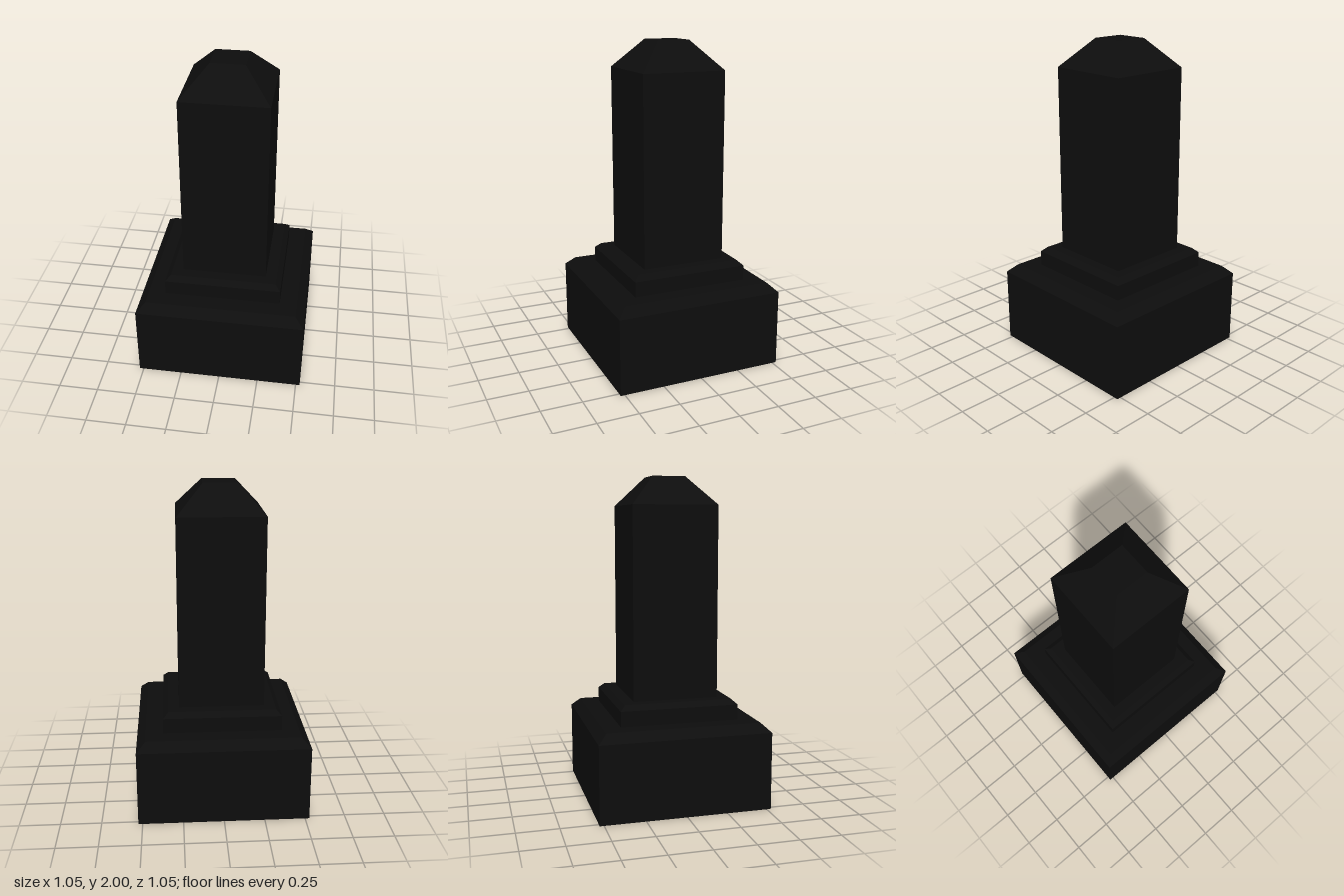
import * as THREE from 'three';

// Square hollow shell from a profile of [half width, height], listed bottom to top
function squareShell(name, profile, material) {
  const points = profile.map(([half, y]) => new THREE.Vector2(half * Math.SQRT2, y));
  const geometry = new THREE.LatheGeometry(points, 4, Math.PI / 4).toNonIndexed();
  geometry.computeVertexNormals(); // flat faces with hard edges
  const mesh = new THREE.Mesh(geometry, material);
  mesh.name = name;
  return mesh;
}

export function createModel() {
  const group = new THREE.Group();
  group.name = 'stonePillar';

  // Open underneath, so the inside faces show as well
  const blackStone = new THREE.MeshStandardMaterial({ color: 0x0d0d0d, side: THREE.DoubleSide });
  blackStone.name = 'blackStone';

  group.add(
    // Wide plinth with a chamfered top and a ledge running in to the step
    squareShell('plinth', [[0.526, 0], [0.526, 0.475], [0.471, 0.528], [0.364, 0.528]], blackStone),
    // Smaller chamfered step with a ledge running in to the shaft
    squareShell('step', [[0.364, 0.528], [0.364, 0.622], [0.331, 0.653], [0.263, 0.653]], blackStone),
    // Plain square shaft
    squareShell('shaft', [[0.263, 0.653], [0.263, 1.826]], blackStone),
    // Sloped cap with a flat top
    squareShell('cap', [[0.263, 1.826], [0.102, 2], [0, 2]], blackStone)
  );
  return group;
}
